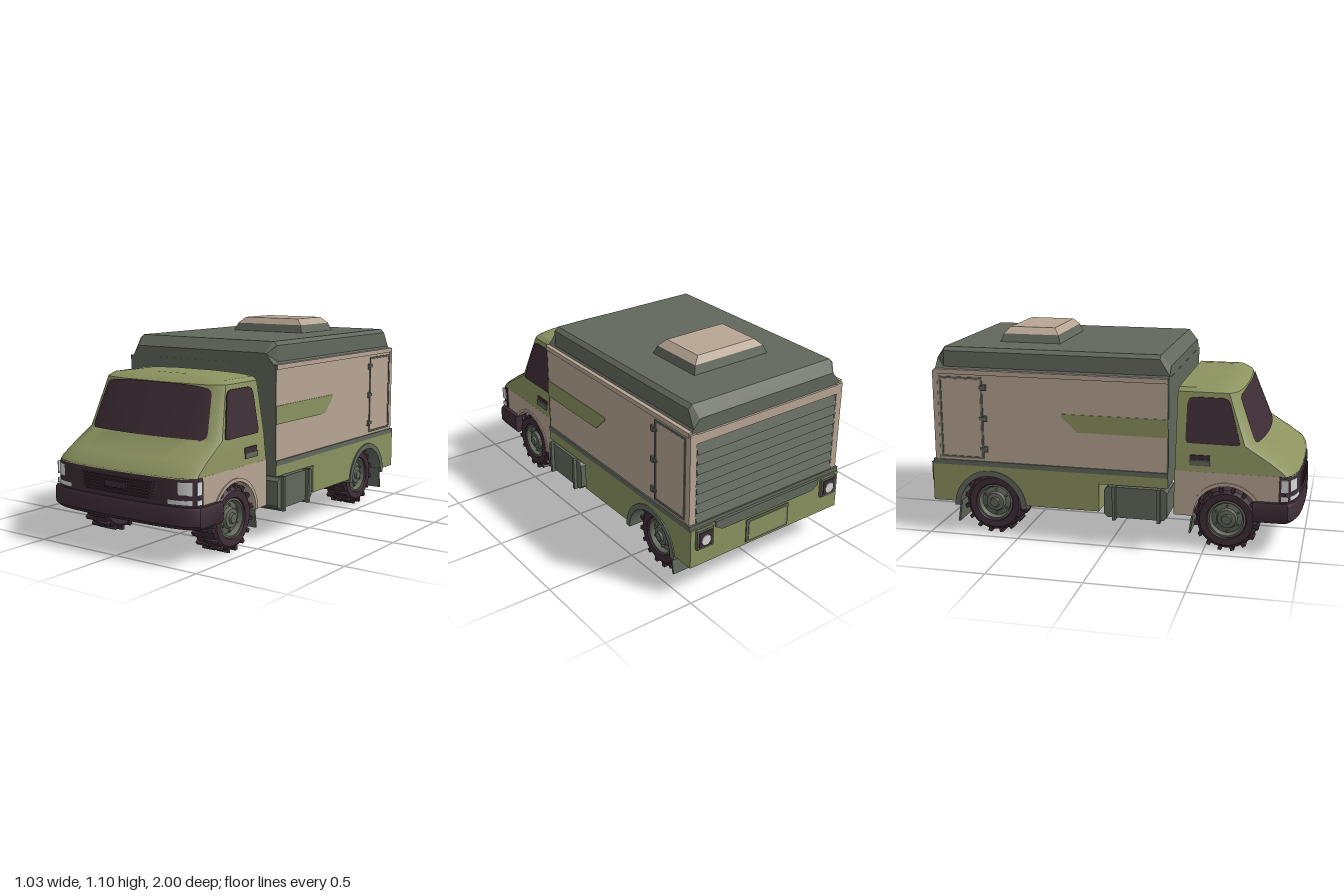
import * as THREE from 'three';
import { toCreasedNormals } from 'three/addons/utils/BufferGeometryUtils.js';

const paint = (name, color) => Object.assign(new THREE.MeshStandardMaterial({ color }), { name });
const lerp = THREE.MathUtils.lerp;

// Cab levels: y, half width, front z at the centre, front bow, back z
const CAB = [
  [0.42, 0.446, 0.985, 0.03, 0.345], [0.44, 0.444, 0.972, 0.03, 0.345], [0.49, 0.438, 0.91, 0.04, 0.345],
  [0.57, 0.43, 0.79, 0.05, 0.345], [0.83, 0.385, 0.675, 0.025, 0.345], [0.85, 0.365, 0.64, 0.02, 0.35],
  [0.86, 0.28, 0.6, 0.015, 0.355], [0.866, 0.12, 0.57, 0.005, 0.36]];

const bowZ = (x, w, zf, bow) => zf - bow * (x / w) ** 2 - 0.04 * Math.abs(x / w) ** 10;

// Interpolated cab level at height y
function cabAt(y) {
  let i = 0;
  while (i < CAB.length - 2 && y > CAB[i + 1][0]) i++;
  const t = (y - CAB[i][0]) / (CAB[i + 1][0] - CAB[i][0]);
  return CAB[i].map((a, k) => lerp(a, CAB[i + 1][k], t));
}

// Horizontal section with a bowed front edge
function bowRing([y, w, zf, bow, zb]) {
  const pts = [[-w, y, zb]];
  for (let i = 0; i <= 24; i++) {
    const x = w * Math.sin((i / 12 - 1) * Math.PI / 2);
    pts.push([x, y, bowZ(x, w, zf, bow)]);
  }
  pts.push([w, y, zb]);
  return pts;
}

// Closed skin over matching sections, with end caps
function loft(rings, crease = 0.6) {
  const pos = [], n = rings[0].length;
  const tri = (a, b, c) => pos.push(...a, ...b, ...c);
  for (let i = 0; i < rings.length - 1; i++) for (let j = 0; j < n; j++) {
    const k = (j + 1) % n, a = rings[i], b = rings[i + 1];
    tri(a[j], a[k], b[k]);
    tri(a[j], b[k], b[j]);
  }
  const lo = rings[0], hi = rings[rings.length - 1];
  for (let j = 1; j < n - 1; j++) {
    tri(hi[0], hi[j], hi[j + 1]);
    tri(lo[0], lo[j + 1], lo[j]);
  }
  const g = new THREE.BufferGeometry();
  g.setAttribute('position', new THREE.Float32BufferAttribute(pos, 3));
  return toCreasedNormals(g, crease);
}

// Outline in [z, y] pushed out along x
function prism(pts, x0, x1, hole) {
  const v = p => p.map(([z, y]) => new THREE.Vector2(-z, y));
  const s = new THREE.Shape(v(pts));
  if (hole) s.holes.push(new THREE.Path(v(hole)));
  return new THREE.ExtrudeGeometry(s, { depth: x1 - x0, bevelEnabled: false }).rotateY(Math.PI / 2).translate(x0, 0, 0);
}

const rect = (z0, z1, y0, y1) => [[z0, y0], [z1, y0], [z1, y1], [z0, y1]];
const arch = (zc, yc, r, n = 20) => Array.from({ length: n + 1 }, (_, i) =>
  [zc + r * Math.cos(Math.PI * i / n), yc + r * Math.sin(Math.PI * i / n)]);

export function createModel() {
  const root = new THREE.Group();
  root.name = 'boxTruck';
  const green = paint('olive green', 0x8c9360), tan = paint('sand tan', 0xb8a694), gray = paint('field gray', 0x62685d);
  const dark = paint('dark plum', 0x3e2e36), white = paint('lamp white', 0xd6d6d6);

  const add = (name, mat, geo, parent = root) => {
    const m = new THREE.Mesh(geo, mat);
    m.name = name;
    parent.add(m);
    return m;
  };
  const box = (name, mat, x0, x1, y0, y1, z0, z1) => add(name, mat,
    new THREE.BoxGeometry(x1 - x0, y1 - y0, z1 - z0).translate((x0 + x1) / 2, (y0 + y1) / 2, (z0 + z1) / 2));
  // Same part on both sides
  const pair = (name, mat, pts, x0, x1, hole) => {
    add(name + 'Left', mat, prism(pts, x0, x1, hole));
    add(name + 'Right', mat, prism(pts, -x1, -x0, hole));
  };
  const pairBox = (name, mat, x0, x1, y0, y1, z0, z1) => pair(name, mat, rect(z0, z1, y0, y1), x0, x1);
  // Curved thin panel from a rule f(u, v)
  const patch = (name, mat, f) => {
    const g = new THREE.PlaneGeometry(1, 1, 20, 20), p = g.attributes.position;
    for (let i = 0; i < p.count; i++) p.setXYZ(i, ...f(p.getX(i) + 0.5, p.getY(i) + 0.5));
    g.computeVertexNormals();
    return add(name, mat, g);
  };

  // Cab
  add('cabUpper', green, loft(CAB.map(bowRing)));
  pair('cabLowerSide', tan, [[0.345, 0.185], [0.345, 0.425], [0.9, 0.425], [0.9, 0.185], ...arch(0.615, 0.185, 0.175)], 0.28, 0.446);
  box('cabFloor', gray, -0.28, 0.28, 0.185, 0.42, 0.346, 0.92);
  box('cabBackPanel', green, -0.445, 0.445, 0.186, 0.43, 0.34, 0.346);
  pair('cabArchLip', tan, [...arch(0.615, 0.185, 0.19), ...arch(0.615, 0.185, 0.172).reverse()], 0.43, 0.452);
  add('fascia', dark, loft([[0.28, 0.452, 0.985, 0.03, 0.88], [0.405, 0.452, 0.985, 0.03, 0.88], [0.425, 0.448, 0.982, 0.03, 0.88]].map(bowRing)));
  add('frontBumper', dark, loft([[0.182, 0.462, 0.985, 0.03, 0.75], [0.2, 0.474, 1, 0.03, 0.75], [0.275, 0.474, 1, 0.03, 0.75],
    [0.289, 0.468, 0.993, 0.03, 0.75]].map(bowRing)));
  for (let i = 0; i < 6; i++) {
    const y = 0.312 + i * 0.015, w = 0.28 + i * 0.003;
    add('grilleSlat', dark, loft([[y, w, 0.992, 0.012, 0.93], [y + 0.007, w, 0.992, 0.012, 0.93]].map(bowRing)));
  }
  box('grillePlate', dark, -0.07, 0.07, 0.34, 0.373, 0.97, 0.997);

  // Headlamps wrap around the fascia corners
  for (const s of [-1, 1]) {
    const lamp = (name, x0, x1, y0, y1) => patch(name, white, (u, v) => {
      const x = s > 0 ? lerp(x0, x1, u) : -lerp(x1, x0, u);
      return [x, lerp(y0, y1, v), bowZ(x, 0.452, 0.985, 0.03) + 0.006];
    });
    lamp('headlamp', 0.365, 0.432, 0.345, 0.41);
    lamp('indicator', 0.31, 0.432, 0.298, 0.323);
  }
  pairBox('headlampSide', white, 0.45, 0.456, 0.345, 0.41, 0.892, 0.93);
  pairBox('indicatorSide', white, 0.45, 0.456, 0.298, 0.323, 0.892, 0.93);

  // Windows
  patch('windscreen', dark, (u, v) => {
    const hw = lerp(0.374, 0.338, v) - 0.02 * Math.abs(2 * v - 1) ** 14, x = (2 * u - 1) * hw;
    const y = lerp(0.574, 0.829 - 0.014 * (2 * u - 1) ** 4, v), [, w, zf, bow] = cabAt(y);
    return [x, y, bowZ(x, w, zf, bow) + 0.006];
  });
  const pane = [[0.675, 0.575], [0.67, 0.6], [0.62, 0.775], [0.605, 0.797], [0.58, 0.805], [0.43, 0.805], [0.405, 0.795],
    [0.397, 0.77], [0.395, 0.59], [0.405, 0.572], [0.66, 0.57]];
  for (const s of [-1, 1]) {
    const g = prism(pane, 0, 1), p = g.attributes.position;
    for (let i = 0; i < p.count; i++) p.setX(i, s * cabAt(p.getY(i))[1] + (p.getX(i) - 0.5) * 0.012);
    g.computeVertexNormals();
    add('sideWindow', dark, g);
  }
  pairBox('handleRecess', dark, 0.42, 0.441, 0.488, 0.512, 0.42, 0.525);
  pairBox('doorHandle', gray, 0.42, 0.447, 0.457, 0.486, 0.42, 0.525);

  // Cargo box
  box('cargoBox', tan, -0.483, 0.483, 0.41, 0.91, -0.945, 0.31);
  box('bulkhead', gray, -0.484, 0.484, 0.335, 0.91, 0.309, 0.317);
  pairBox('upperTrim', tan, 0.47, 0.49, 0.885, 0.91, -0.945, 0.31);
  const section = (z, p) => [...p.map(([x, y]) => [x, y, z]), ...p.map(([x, y]) => [-x, y, z]).reverse()];
  const end = [[0.48, 0.895], [0.46, 0.92], [0.424, 0.963], [0.415, 0.966]];
  const mid = [[0.48, 0.895], [0.46, 0.92], [0.457, 1.003], [0.435, 1.023]];
  add('roof', gray, loft([section(-0.946, end), section(-0.9, mid), section(0.265, mid), section(0.316, end)], 0.2));
  const frustum = (name, mat, y0, y1, x0, x1, za, zb, inset) => add(name, mat, loft([[y0, x0, 0], [y1, x1, inset]].map(([y, x, d]) =>
    [[-x, y, za - d], [x, y, za - d], [x, y, zb + d], [-x, y, zb + d]]), 0.1));
  frustum('hatchBase', gray, 1.02, 1.066, 0.235, 0.217, -0.323, -0.662, 0.017);
  frustum('hatchLid', tan, 1.066, 1.1, 0.217, 0.18, -0.34, -0.645, 0.028);
  pair('sideStripe', green, [[0.315, 0.605], [0.315, 0.7], [-0.25, 0.7], [-0.25, 0.685], [-0.165, 0.605]], 0.48, 0.487);

  // Side doors with hinges
  pair('doorFrame', gray, rect(-0.68, -0.92, 0.43, 0.872), 0.48, 0.488, rect(-0.69, -0.91, 0.44, 0.862));
  pairBox('doorPanel', tan, 0.48, 0.486, 0.442, 0.86, -0.908, -0.692);
  for (const y of [0.485, 0.652, 0.82]) {
    pairBox('hingeBarrel', gray, 0.48, 0.495, y - 0.016, y + 0.016, -0.676, -0.658);
    pairBox('hingeLeaf', gray, 0.48, 0.492, y - 0.008, y + 0.008, -0.7, -0.66);
  }

  // Roller shutter
  const saw = [[-0.93, 0.42]];
  for (let i = 0; i < 8; i++) saw.push([-0.965, 0.42 + i * 0.053], [-0.947, 0.468 + i * 0.053]);
  add('rollerShutter', gray, prism([...saw, [-0.93, 0.844]], -0.445, 0.445));
  pairBox('rearPost', tan, 0.447, 0.485, 0.41, 0.9, -0.957, -0.93);
  box('rearHeader', tan, -0.485, 0.485, 0.846, 0.895, -0.957, -0.93);

  // Skirt and underside
  pair('skirt', green, [[-0.05, 0.185], ...arch(-0.65, 0.185, 0.18), [-0.975, 0.185], [-0.975, 0.395], [0.315, 0.395],
    [0.315, 0.335], [-0.05, 0.335]], 0.28, 0.488);
  box('rearSkirt', green, -0.28, 0.28, 0.186, 0.395, -0.975, -0.05);
  box('underside', gray, -0.28, 0.28, 0.181, 0.187, -0.965, -0.052);
  box('frontUnderside', gray, -0.28, 0.28, 0.335, 0.4, -0.05, 0.31);
  box('sill', gray, -0.491, 0.491, 0.39, 0.417, -0.968, 0.316);
  pair('rearArchFlare', gray, [...arch(-0.65, 0.165, 0.202), ...arch(-0.65, 0.165, 0.172).reverse()], 0.3, 0.495);
  add('rearStep', gray, loft([[-0.984], [-0.97]].map(([z]) => [[-0.3, 0.345, z], [0.3, 0.345, z], [0.34, 0.37, z], [0.34, 0.4, z],
    [-0.34, 0.4, z], [-0.34, 0.37, z]]), 0.1));
  box('plateFrame', gray, -0.14, 0.14, 0.2, 0.33, -0.98, -0.97);
  box('platePanel', green, -0.125, 0.125, 0.213, 0.317, -0.983, -0.975);
  for (const s of [-1, 1]) {
    const x = s * 0.41;
    box('rearLampHousing', gray, x - 0.05, x + 0.05, 0.285, 0.39, -0.992, -0.97);
    box('rearLampPanel', dark, x - 0.039, x + 0.039, 0.296, 0.379, -0.996, -0.99);
    add('rearLampLens', white, new THREE.CylinderGeometry(0.028, 0.028, 0.008, 20).rotateX(Math.PI / 2).translate(x, 0.332, -0.996));
  }

  // Fuel tanks with straps
  const tank = (z0, z1, y0, y1, c) => [[z0 + c, y0], [z1 - c, y0], [z1, y0 + c], [z1, y1 - c], [z1 - c, y1], [z0 + c, y1], [z0, y1 - c], [z0, y0 + c]];
  pair('tank', gray, tank(-0.02, 0.315, 0.162, 0.328, 0.018), 0.3, 0.497);
  for (const z of [0.035, 0.272]) pairBox('tankStrap', gray, 0.29, 0.515, 0.15, 0.333, z - 0.009, z + 0.009);

  // Wheels
  const lathe = pts => toCreasedNormals(new THREE.LatheGeometry(pts.map(p => new THREE.Vector2(...p)), 32).rotateZ(-Math.PI / 2), 0.5);
  const tire = lathe([[0.095, -0.07], [0.14, -0.072], [0.156, -0.06], [0.163, -0.035], [0.163, 0.035], [0.156, 0.06], [0.14, 0.072], [0.105, 0.07], [0.096, 0.055]]);
  const rim = lathe([[0, -0.05], [0.1, -0.065], [0.1, 0.062], [0.09, 0.064], [0.08, 0.04], [0.055, 0.045], [0.048, 0.062], [0.028, 0.064], [0.024, 0.075], [0, 0.075]]);
  for (const z of [0.615, -0.65]) for (const s of [-1, 1]) {
    const wheel = new THREE.Group();
    wheel.name = z > 0 ? 'frontWheel' : 'rearWheel';
    wheel.position.set(s * 0.363, 0.172, z);
    if (s < 0) wheel.rotation.y = Math.PI;
    add('tire', dark, tire, wheel);
    add('rim', gray, rim, wheel);
    for (let i = 0; i < 32; i++) {
      const a = i * Math.PI / 16, side = i % 2 ? 1 : -1;
      const lug = new THREE.BoxGeometry(0.066, 0.03, 0.02).translate(side * 0.034, 0.157, 0).rotateX(a);
      add('treadLug', dark, lug, wheel);
    }
    for (let i = 0; i < 6; i++) {
      const a = i * Math.PI / 3;
      add('wheelNut', gray, new THREE.CylinderGeometry(0.006, 0.006, 0.014, 6).rotateZ(Math.PI / 2)
        .translate(0.046, 0.067 * Math.cos(a), 0.067 * Math.sin(a)), wheel);
    }
    root.add(wheel);
    // Mud flap behind each wheel
    const [x0, x1, y, fz] = z > 0 ? [0.27, 0.44, 0.145, 0.432] : [0.25, 0.485, 0.13, -0.828];
    const flap = add('mudFlap', gray, new THREE.BoxGeometry(x1 - x0, 0.12, 0.01));
    flap.position.set(s * (x0 + x1) / 2, y, fz);
    flap.rotation.x = 0.14;
  }
  return root;
}
